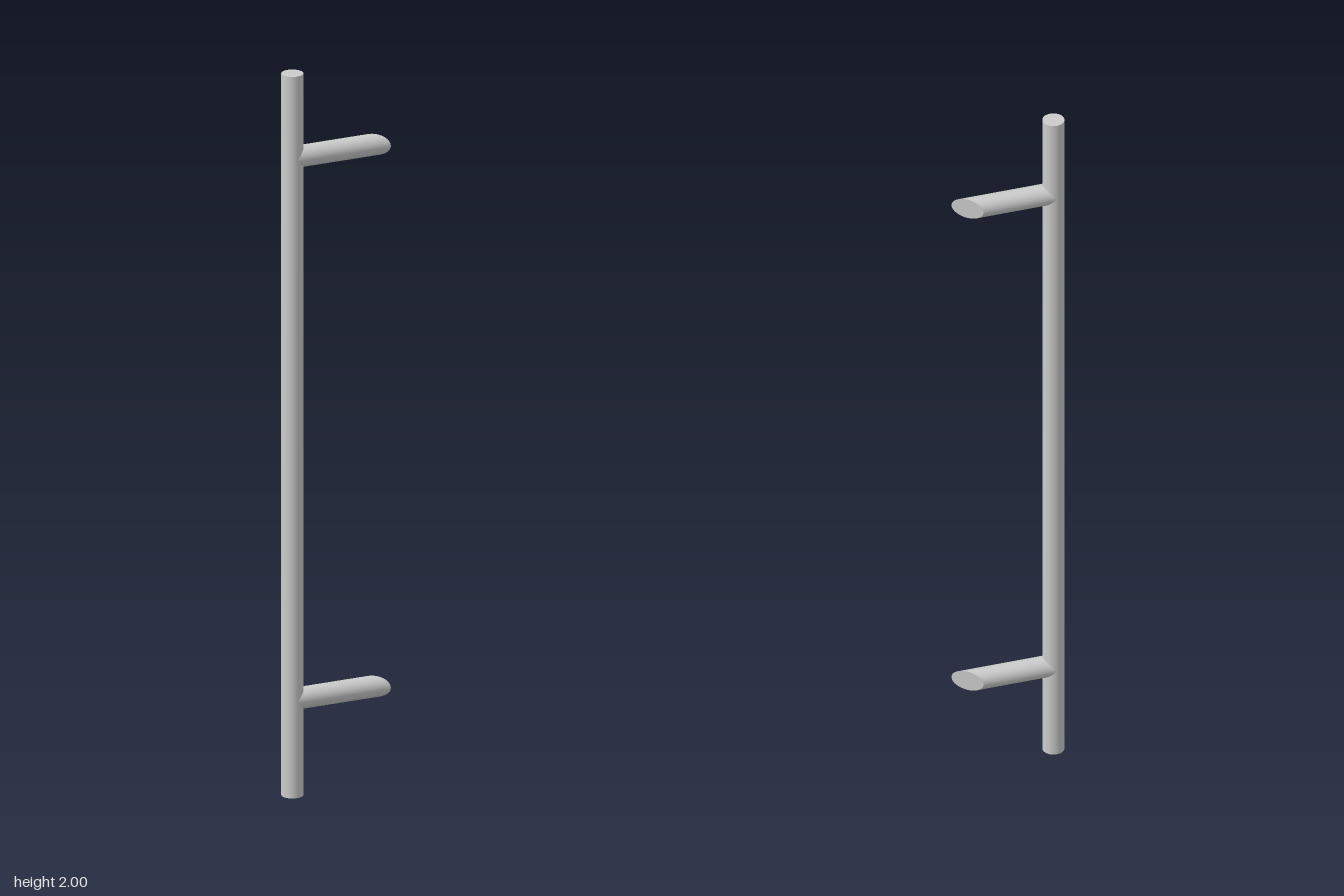
import * as THREE from 'three';

const R = 0.029;            // shared radius of bar and posts
const BAR_X = -0.098, BAR_Z = 0.061;
const WALL_Z = -0.09;       // plane on which the posts are cut off
const ANGLE = THREE.MathUtils.degToRad(40);

// Round post leaving the bar axis obliquely, its far end cut flush with the wall plane
function postGeometry() {
  const dir = new THREE.Vector3(Math.cos(ANGLE), 0, -Math.sin(ANGLE));
  const length = (BAR_Z - WALL_Z) / Math.sin(ANGLE);
  const geo = new THREE.CylinderGeometry(R, R, length, 64);
  geo.translate(0, length / 2, 0);
  geo.applyQuaternion(new THREE.Quaternion().setFromUnitVectors(new THREE.Vector3(0, 1, 0), dir));

  const pos = geo.attributes.position, nor = geo.attributes.normal;
  const p = new THREE.Vector3(), n = new THREE.Vector3();
  for (let i = 0; i < pos.count; i++) {
    p.fromBufferAttribute(pos, i);
    n.fromBufferAttribute(nor, i);
    if (p.dot(dir) < length / 2) continue;
    // slide far-end points along the axis onto the wall plane
    p.addScaledVector(dir, (WALL_Z - BAR_Z - p.z) / dir.z);
    pos.setXYZ(i, p.x, p.y, p.z);
    if (n.dot(dir) > 0.9) nor.setXYZ(i, 0, 0, -1);
  }
  return geo;
}

export function createModel() {
  const group = new THREE.Group();
  group.name = 'pullHandle';
  const material = new THREE.MeshStandardMaterial({ color: 0xcccccc });

  // Upright grip bar
  const bar = new THREE.Mesh(new THREE.CylinderGeometry(R, R, 2, 64), material);
  bar.name = 'gripBar';
  bar.position.set(BAR_X, 1, BAR_Z);
  group.add(bar);

  // Two offset mounting posts
  const geo = postGeometry();
  for (const [name, y] of [['lowerPost', 0.265], ['upperPost', 1.767]]) {
    const post = new THREE.Mesh(geo, material);
    post.name = name;
    post.position.set(BAR_X, y, BAR_Z);
    group.add(post);
  }
  return group;
}
